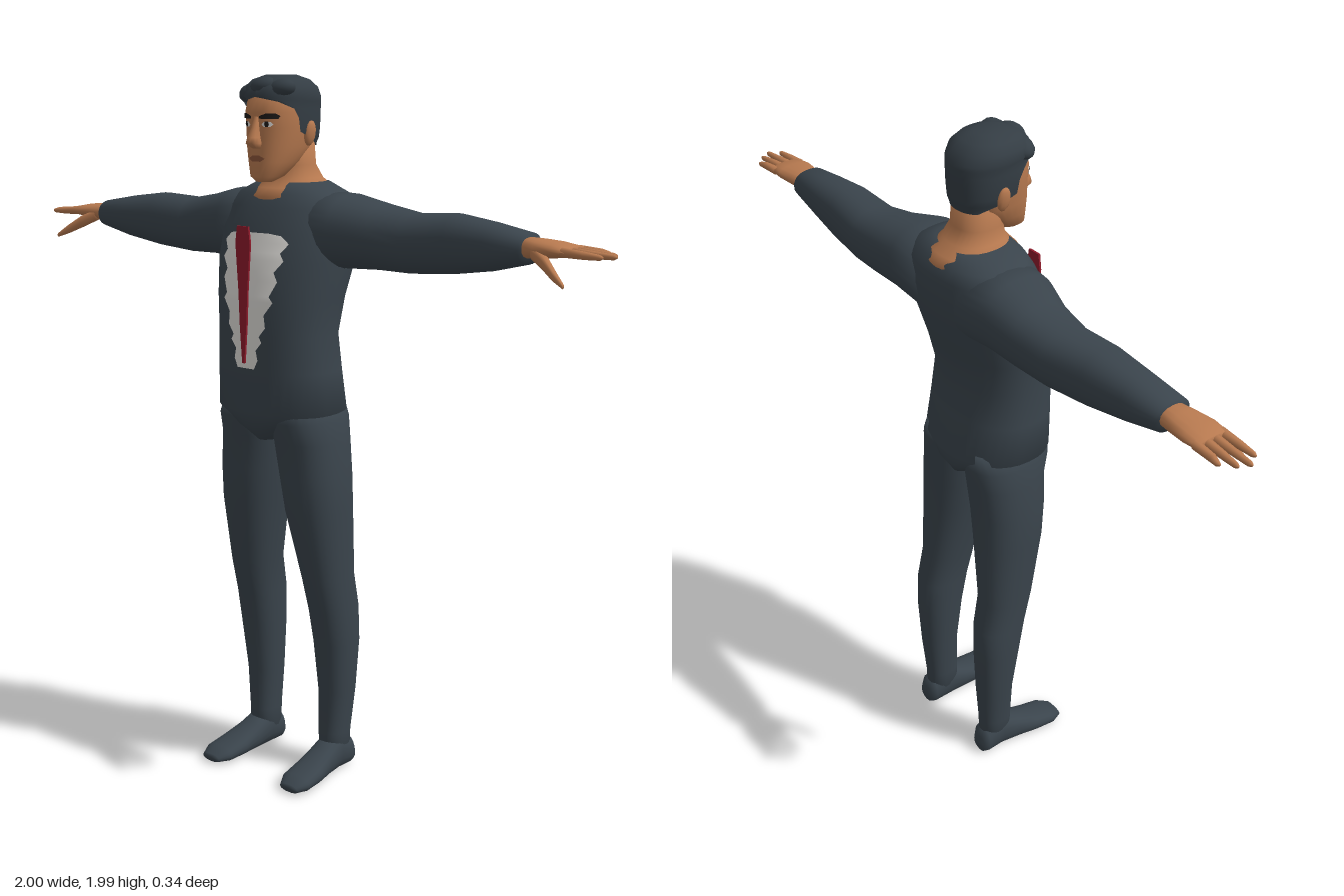
import * as THREE from 'three';

const mat = (name, color, side = THREE.FrontSide) => {
  const m = new THREE.MeshStandardMaterial({ color, side });
  m.name = name;
  return m;
};

const N = 2.3; // roundness of the cross-sections

function build(pos, index) {
  const g = new THREE.BufferGeometry();
  g.setAttribute('position', new THREE.Float32BufferAttribute(pos, 3));
  g.setIndex(index);
  g.computeVertexNormals();
  return g;
}

// Skin over rounded sections along an axis (0 x, 1 y, 2 z).
// Section: [position, v0, v1, u0, u1, half span in degrees], v and u being the next two axes.
function loft(axis, sections, sides = 28) {
  const pos = [], index = [], V = (axis + 1) % 3, U = (axis + 2) % 3;
  const open = sections[0].length > 5;
  const cols = open ? sides + 1 : sides;
  const put = (p, v, u) => {
    const q = [0, 0, 0];
    q[axis] = p; q[V] = v; q[U] = u;
    pos.push(...q);
  };
  const pw = c => Math.sign(c) * Math.abs(c) ** (2 / N);
  for (const [p, v0, v1, u0, u1, span = 180] of sections) {
    for (let j = 0; j < cols; j++) {
      const t = -Math.PI / 2 + (2 * j / sides - 1) * span * Math.PI / 180;
      put(p, (v0 + v1) / 2 + pw(Math.sin(t)) * (v1 - v0) / 2, (u0 + u1) / 2 + pw(Math.cos(t)) * (u1 - u0) / 2);
    }
  }
  for (let i = 0; i < sections.length - 1; i++) {
    for (let j = 0; j < sides; j++) {
      const a = i * cols + j, b = i * cols + (j + 1) % cols;
      index.push(a, a + cols, b, b, a + cols, b + cols);
    }
  }
  // End caps
  const last = sections.length - 1;
  for (const i of open ? [last] : [0, last]) {
    const [p, v0, v1, u0, u1] = sections[i], c = pos.length / 3;
    put(p, (v0 + v1) / 2, (u0 + u1) / 2);
    for (let j = 0; j < sides; j++) {
      const a = i * cols + j, b = i * cols + (j + 1) % cols;
      if (i === 0) index.push(c, a, b); else index.push(c, b, a);
    }
  }
  return build(pos, index);
}

// Front depth of an upright loft at (x, y)
function frontZ(sections, x, y) {
  let i = 0;
  while (i < sections.length - 2 && sections[i + 1][0] < y) i++;
  const a = sections[i], b = sections[i + 1], k = (y - a[0]) / (b[0] - a[0]);
  const [, z0, z1, , hw] = a.map((v, n) => v + (b[n] - v) * k);
  return (z0 + z1) / 2 + (z1 - z0) / 2 * Math.max(0, 1 - Math.abs(x / hw) ** N) ** (1 / N);
}

// Thin painted face that hugs the front of a loft; rows are [y, x left, x right]
function patch(sections, rows, lift = 0.004, cols = 10) {
  const pos = [], index = [];
  rows.forEach(([y, x0, x1], i) => {
    for (let j = 0; j <= cols; j++) {
      const x = x0 + (x1 - x0) * j / cols;
      pos.push(x, y, frontZ(sections, x, y) + lift);
      if (i && j) {
        const d = i * (cols + 1) + j, c = d - 1, b = d - cols - 1, a = b - 1;
        index.push(a, b, d, a, d, c);
      }
    }
  });
  return build(pos, index);
}

function mirrored(g) {
  const m = g.clone().scale(-1, 1, 1), ix = m.index.array;
  for (let i = 0; i < ix.length; i += 3) [ix[i], ix[i + 1]] = [ix[i + 1], ix[i]];
  return m;
}

// Upright section symmetric in x
const sym = ([y, z0, z1, hw, ...rest]) => [y, z0, z1, -hw, hw, ...rest];

export function createModel() {
  const model = new THREE.Group();
  model.name = 'suitedMan';
  const suit = mat('suit', 0x3a444c), hairMat = mat('hair', 0x343d44, THREE.DoubleSide);
  const skin = mat('skin', 0xb87a50), lip = mat('lips', 0x8a5439);
  const white = mat('shirtWhite', 0xdedcd8, THREE.DoubleSide), red = mat('tieRed', 0x8e1b2b);
  const dark = mat('eyeDark', 0x1d1a19);
  const add = (name, g, m) => {
    const mesh = new THREE.Mesh(g, m);
    mesh.name = name;
    model.add(mesh);
  };
  const pair = (name, g, m) => {
    add('left' + name, g, m);
    add('right' + name, mirrored(g), m);
  };

  // Jacket body
  const torso = [
    [1.0, -0.11, 0.10, 0.035], [1.04, -0.135, 0.135, 0.11], [1.085, -0.14, 0.152, 0.188],
    [1.2, -0.12, 0.155, 0.182], [1.3, -0.105, 0.155, 0.177], [1.4, -0.13, 0.155, 0.185],
    [1.5, -0.16, 0.14, 0.2], [1.58, -0.173, 0.117, 0.2], [1.64, -0.17, 0.09, 0.19],
    [1.675, -0.155, 0.07, 0.165], [1.705, -0.125, 0.045, 0.1],
  ].map(sym);
  add('jacketBody', loft(1, torso, 36), suit);

  // Sleeves
  pair('Sleeve', loft(0, [
    [0.08, 1.46, 1.685, -0.165, 0.08], [0.2, 1.48, 1.678, -0.167, 0.065], [0.3, 1.482, 1.655, -0.162, 0.03],
    [0.4, 1.48, 1.638, -0.152, 0.015], [0.53, 1.49, 1.645, -0.138, 0.01], [0.65, 1.508, 1.63, -0.12, 0.005],
    [0.755, 1.533, 1.612, -0.107, 0.002],
  ]), suit);

  // Hands
  pair('Palm', loft(0, [
    [0.73, 1.548, 1.602, -0.088, -0.02], [0.79, 1.55, 1.6, -0.098, -0.005],
    [0.84, 1.556, 1.596, -0.105, 0.002], [0.885, 1.562, 1.588, -0.103, -0.002],
  ], 16), skin);
  [[-0.093, -0.1, 0.955], [-0.066, -0.073, 0.985], [-0.04, -0.045, 1.0], [-0.013, -0.014, 0.98]].forEach(([z0, z1, tip], i) => {
    pair('Finger' + (i + 1), loft(0, [
      [0.87, 1.563, 1.587, z0 - 0.012, z0 + 0.012],
      [0.93, 1.562, 1.582, (z0 + z1) / 2 - 0.01, (z0 + z1) / 2 + 0.01],
      [tip - 0.008, 1.563, 1.577, z1 - 0.007, z1 + 0.007], [tip, 1.567, 1.573, z1 - 0.003, z1 + 0.003],
    ], 8), skin);
  });
  pair('Thumb', loft(0, [
    [0.785, 1.55, 1.585, -0.04, -0.005], [0.83, 1.528, 1.565, -0.02, 0.012],
    [0.87, 1.508, 1.535, 0.008, 0.03], [0.905, 1.495, 1.507, 0.03, 0.04],
  ], 10), skin);

  // Trouser legs
  pair('TrouserLeg', loft(1, [
    [0.04, -0.12, -0.02, 0.097, 0.172], [0.12, -0.12, -0.02, 0.094, 0.175], [0.25, -0.13, -0.02, 0.088, 0.188],
    [0.4, -0.137, 0, 0.08, 0.2], [0.5, -0.135, 0.02, 0.076, 0.2], [0.6, -0.115, 0.045, 0.07, 0.2],
    [0.8, -0.112, 0.085, 0.032, 0.205], [0.9, -0.113, 0.095, 0.017, 0.203], [1.0, -0.118, 0.103, 0.002, 0.193],
    [1.06, -0.125, 0.125, 0, 0.183], [1.11, -0.12, 0.12, 0, 0.165],
  ]), suit);

  // Shoes
  pair('Shoe', loft(2, [
    [-0.13, 0.11, 0.165, 0.003, 0.06], [-0.115, 0.098, 0.175, 0, 0.09], [-0.06, 0.095, 0.177, 0, 0.115],
    [0, 0.095, 0.185, 0, 0.085], [0.06, 0.095, 0.196, 0, 0.06], [0.12, 0.1, 0.2, 0, 0.045],
    [0.155, 0.12, 0.185, 0.005, 0.028],
  ], 20), suit);

  // Ragged shirt front and tie
  const bib = [
    [1.21, 0.03], [1.235, 0.042], [1.262, 0.036], [1.285, 0.055], [1.3, 0.046], [1.325, 0.066], [1.36, 0.062],
    [1.395, 0.088], [1.41, 0.076], [1.45, 0.096], [1.475, 0.084], [1.505, 0.108], [1.525, 0.095], [1.55, 0.114],
    [1.57, 0.09], [1.575, 0.05],
  ];
  add('shirtFront', patch(torso, bib.map(([y, w]) => [y, -w, w]), 0.005, 16), white);
  const tie = [[0.004, 1.225], [0.012, 1.33], [0.016, 1.42], [0.026, 1.55], [0.02, 1.595]];
  const tieShape = new THREE.Shape([
    ...tie.map(([x, y]) => new THREE.Vector2(x, y)),
    ...tie.map(([x, y]) => new THREE.Vector2(-x, y)).reverse(),
  ]);
  add('tie', new THREE.ExtrudeGeometry(tieShape, { depth: 0.006, bevelEnabled: false }).translate(0, 0, 0.163), red);

  // Neck and open collar
  add('neck', loft(1, [
    [1.64, -0.155, 0.07, 0.07], [1.668, -0.162, 0.083, 0.098], [1.69, -0.145, 0.062, 0.1],
    [1.715, -0.115, 0.04, 0.078], [1.75, -0.093, 0.035, 0.065], [1.82, -0.088, 0.04, 0.062],
  ].map(sym)), skin);

  // Head
  const head = [
    [1.708, 0.06, 0.1, 0.022], [1.722, 0.025, 0.114, 0.042], [1.76, -0.03, 0.112, 0.062],
    [1.8, -0.07, 0.113, 0.074], [1.85, -0.088, 0.112, 0.081], [1.89, -0.09, 0.115, 0.083],
    [1.925, -0.088, 0.106, 0.08], [1.96, -0.06, 0.075, 0.058],
  ].map(sym);
  add('head', loft(1, head), skin);
  add('nose', loft(1, [
    [1.797, 0.1, 0.122, 0.014], [1.81, 0.1, 0.145, 0.02], [1.825, 0.1, 0.142, 0.015],
    [1.85, 0.1, 0.128, 0.01], [1.88, 0.1, 0.116, 0.008],
  ].map(sym), 12), skin);
  pair('Ear', new THREE.SphereGeometry(1, 12, 8).scale(0.011, 0.034, 0.02).rotateZ(-0.15).translate(0.084, 1.835, -0.008), skin);

  // Face details
  add('lips', patch(head, [[1.762, -0.015, 0.015], [1.77, -0.028, 0.028], [1.778, -0.012, 0.012]], 0.003), lip);
  pair('EyeWhite', patch(head, [[1.853, 0.026, 0.042], [1.859, 0.02, 0.05], [1.866, 0.027, 0.044]], 0.003), white);
  pair('Pupil', patch(head, [[1.853, 0.031, 0.038], [1.86, 0.029, 0.041], [1.867, 0.031, 0.039]], 0.005), dark);
  pair('Eyebrow', patch(head, [[1.874, 0.014, 0.06], [1.881, 0.015, 0.064], [1.888, 0.035, 0.056]], 0.004), dark);

  // Hair wraps the back, closing over the forehead towards the top
  add('hair', loft(1, [
    [1.8, -0.092, 0.118, 0.08, 42], [1.822, -0.099, 0.118, 0.084, 80], [1.84, -0.1, 0.118, 0.087, 100],
    [1.875, -0.102, 0.118, 0.089, 104], [1.9, -0.102, 0.12, 0.09, 112], [1.918, -0.102, 0.118, 0.091, 140],
    [1.93, -0.1, 0.117, 0.093, 180], [1.955, -0.088, 0.111, 0.089, 180],
    [1.975, -0.064, 0.09, 0.07, 180], [1.987, -0.03, 0.055, 0.036, 180],
  ].map(sym), 32), hairMat);
  // Swept fringe locks
  [[-0.05, 1.94, 0.07], [0.0, 1.955, 0.082], [0.05, 1.95, 0.068]].forEach(([x, y, z], i) => {
    add('fringeLock' + (i + 1), new THREE.SphereGeometry(1, 14, 10).scale(0.042, 0.026, 0.034).rotateZ(0.25).translate(x, y, z), hairMat);
  });

  return model;
}
